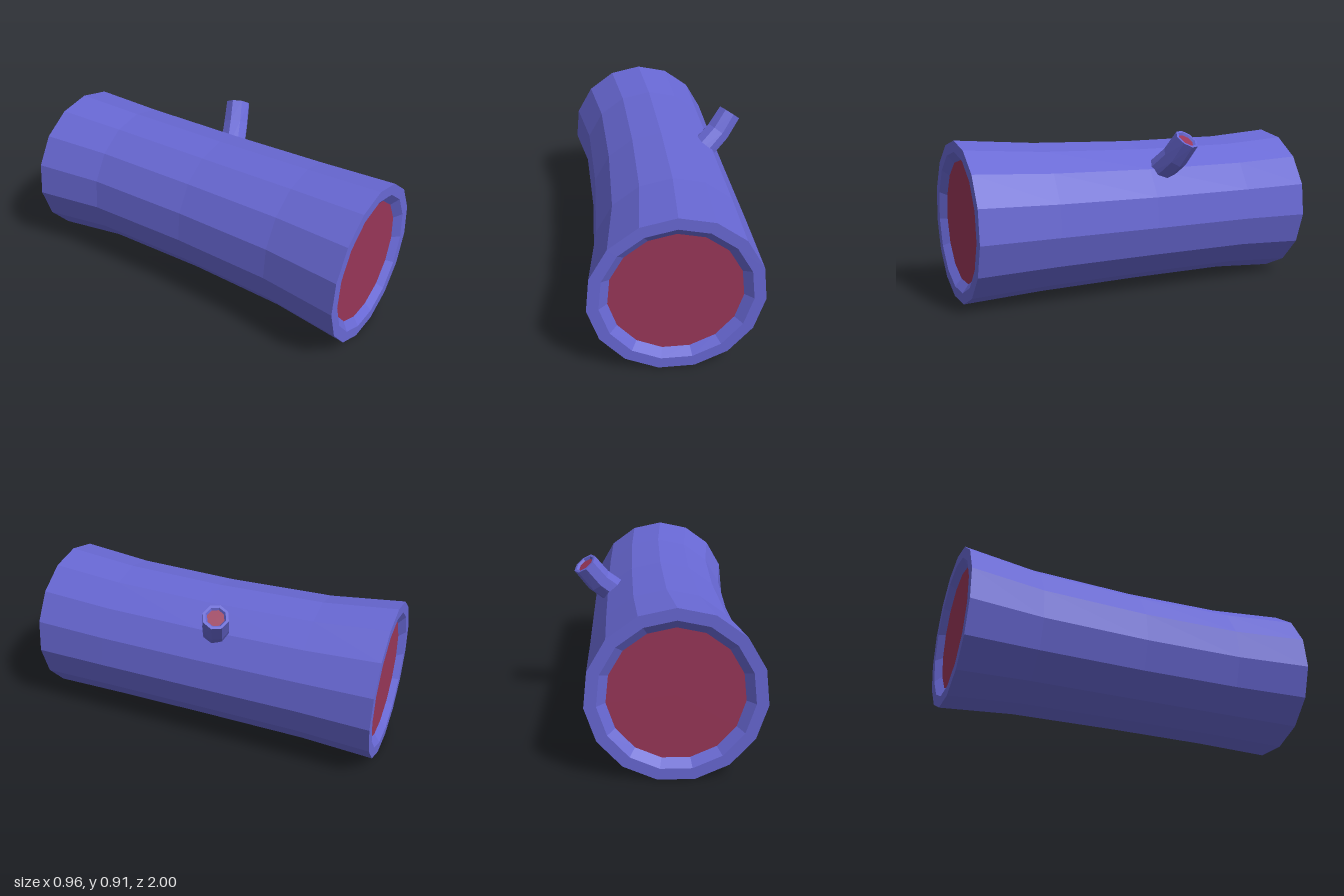
import * as THREE from 'three';

const bark = new THREE.MeshStandardMaterial({ color: 0x6868d4, flatShading: true });
const core = new THREE.MeshStandardMaterial({ color: 0x983658, flatShading: true });

// Skin a list of rings { c: centre, t: axis direction, r: radius }, ordered along the axis.
function loft(name, rings, sides, ref, material) {
  const pos = [];
  const idx = [];
  for (const { c, t, r } of rings) {
    const v = ref.clone().addScaledVector(t, -ref.dot(t)).normalize();
    const u = new THREE.Vector3().crossVectors(v, t);
    for (let j = 0; j < sides; j++) {
      const a = (j / sides) * Math.PI * 2;
      const p = c.clone().addScaledVector(u, r * Math.sin(a)).addScaledVector(v, r * Math.cos(a));
      pos.push(p.x, p.y, p.z);
    }
  }
  for (let i = 0; i < rings.length - 1; i++) {
    for (let j = 0; j < sides; j++) {
      const a = i * sides + j;
      const b = i * sides + ((j + 1) % sides);
      if (rings[i].r > 0) idx.push(a, a + sides, b);
      if (rings[i + 1].r > 0) idx.push(b, a + sides, b + sides);
    }
  }
  const indexed = new THREE.BufferGeometry();
  indexed.setAttribute('position', new THREE.Float32BufferAttribute(pos, 3));
  indexed.setIndex(idx);
  const geometry = indexed.toNonIndexed();
  geometry.computeVertexNormals();
  const mesh = new THREE.Mesh(geometry, material);
  mesh.name = name;
  return mesh;
}

function createTrunk() {
  const group = new THREE.Group();
  group.name = 'trunk';
  const up = new THREE.Vector3(0, 1, 0);
  const axis = new THREE.Vector3(0, 0, 1);
  // x, y, z, radius: slightly bowed, flared at both ends, with a sunken cut face
  const ring = ([x, y, z, r]) => ({ c: new THREE.Vector3(x, y, z), t: axis, r });
  const end = -0.038;
  const mid = 0.431;
  const rings = [
    [end, mid, -0.965, 0.336], [end, mid, -1, 0.38], [end, mid, -1, 0.44],
    [-0.008, 0.434, -0.6, 0.409], [0, mid, 0, 0.404], [-0.008, mid, 0.57, 0.414],
    [end, mid, 1, 0.44], [end, mid, 1, 0.38], [end, mid, 0.965, 0.336],
  ].map(ring);
  group.add(loft('trunkBark', rings, 15, up, bark));

  // Cut faces
  const back = [[end, mid, -0.965, 0], [end, mid, -0.965, 0.336]].map(ring);
  const front = [[end, mid, 0.965, 0.336], [end, mid, 0.965, 0]].map(ring);
  group.add(loft('backCutFace', back, 15, up, core));
  group.add(loft('frontCutFace', front, 15, up, core));
  return group;
}

function createBranch() {
  const group = new THREE.Group();
  group.name = 'branch';
  const ref = new THREE.Vector3(0, 0, -1);
  const base = new THREE.Vector3(0.2, 0.635, -0.055);
  const elbow = new THREE.Vector3(0.35, 0.768, -0.125);
  const tip = new THREE.Vector3(0.423, 0.87, -0.158);
  const lower = elbow.clone().sub(base).normalize();
  const upper = tip.clone().sub(elbow).normalize();
  const bend = lower.clone().add(upper).normalize();
  const sunk = tip.clone().addScaledVector(upper, -0.012);

  group.add(loft('branchBark', [
    { c: base, t: lower, r: 0.076 },
    { c: elbow, t: bend, r: 0.074 },
    { c: tip, t: upper, r: 0.071 },
    { c: tip, t: upper, r: 0.056 },
    { c: sunk, t: upper, r: 0.047 },
  ], 8, ref, bark));
  group.add(loft('branchCutFace', [
    { c: sunk, t: upper, r: 0.047 },
    { c: sunk, t: upper, r: 0 },
  ], 8, ref, core));
  return group;
}

export function createModel() {
  const model = new THREE.Group();
  model.name = 'log';
  model.add(createTrunk(), createBranch());
  return model;
}
